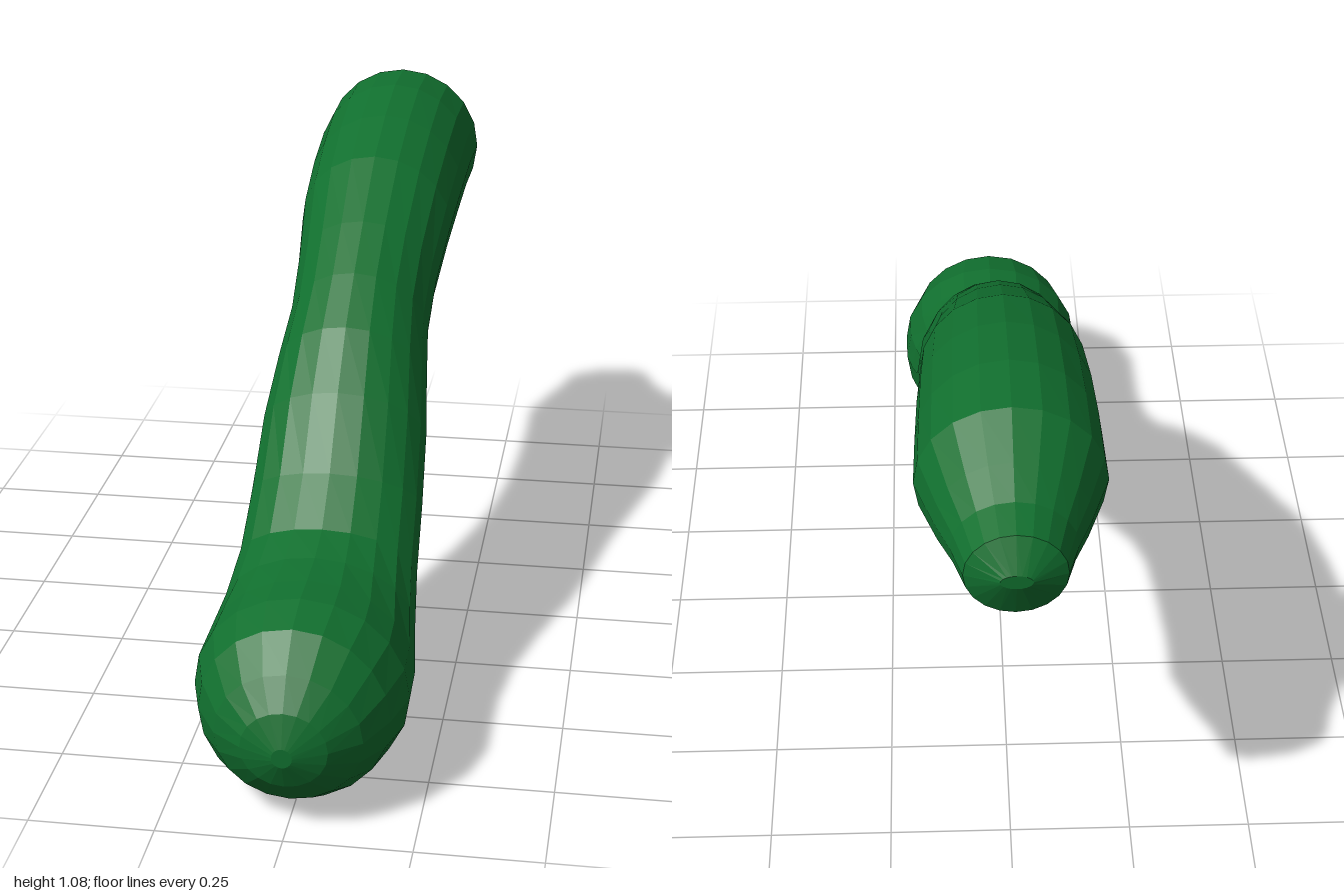
import * as THREE from 'three';

// Cross-sections from front to back: top z, top y, bottom z, bottom y, half width
const SECTIONS = [
  [1.0, 0.2, 1.0, 0.16, 0.02],
  [0.98, 0.265, 0.975, 0.105, 0.085],
  [0.94, 0.325, 0.92, 0.045, 0.145],
  [0.87, 0.385, 0.86, 0.012, 0.188],
  [0.78, 0.405, 0.77, 0, 0.214],
  [0.7, 0.405, 0.66, 0.012, 0.212],
  [0.61, 0.41, 0.53, 0.095, 0.198],
  [0.52, 0.43, 0.39, 0.205, 0.187],
  [0.42, 0.51, 0.25, 0.315, 0.182],
  [0.31, 0.645, 0.14, 0.4, 0.176],
  [0.2, 0.75, 0.03, 0.475, 0.163],
  [0.08, 0.83, -0.06, 0.535, 0.152],
  [-0.05, 0.905, -0.17, 0.615, 0.156],
  [-0.23, 1.0, -0.29, 0.675, 0.17],
  [-0.4, 1.05, -0.44, 0.7, 0.177],
  [-0.57, 1.08, -0.58, 0.715, 0.181],
  [-0.72, 1.08, -0.7, 0.72, 0.184],
  [-0.82, 1.03, -0.8, 0.745, 0.148],
  [-0.89, 0.995, -0.88, 0.775, 0.118],
  [-0.965, 0.98, -0.965, 0.8, 0.096],
  [-1.0, 0.915, -1.0, 0.885, 0.03],
];
const SIDES = 20;

// Skin elliptical rings into one closed body
function loft(sections, sides) {
  const positions = [];
  const index = [];
  for (const [tz, ty, bz, by, width] of sections) {
    for (let j = 0; j < sides; j++) {
      const a = (j / sides) * Math.PI * 2;
      const t = (1 - Math.cos(a)) / 2;
      positions.push(width * Math.sin(a), ty + (by - ty) * t, tz + (bz - tz) * t);
    }
  }
  const last = (sections.length - 1) * sides;
  for (let i = 0; i < last; i += sides) {
    for (let j = 0; j < sides; j++) {
      const k = (j + 1) % sides;
      index.push(i + j, i + k, i + sides + j, i + k, i + sides + k, i + sides + j);
    }
  }
  // Small end caps
  for (let j = 1; j < sides - 1; j++) {
    index.push(0, j + 1, j, last, last + j, last + j + 1);
  }
  const geometry = new THREE.BufferGeometry();
  geometry.setAttribute('position', new THREE.Float32BufferAttribute(positions, 3));
  geometry.setIndex(index);
  geometry.computeVertexNormals();
  return geometry;
}

export function createModel() {
  const group = new THREE.Group();
  group.name = 'curvedVegetable';
  const skin = new THREE.MeshStandardMaterial({ color: 0x11702f, flatShading: true });
  const body = new THREE.Mesh(loft(SECTIONS, SIDES), skin);
  body.name = 'body';
  group.add(body);
  return group;
}
